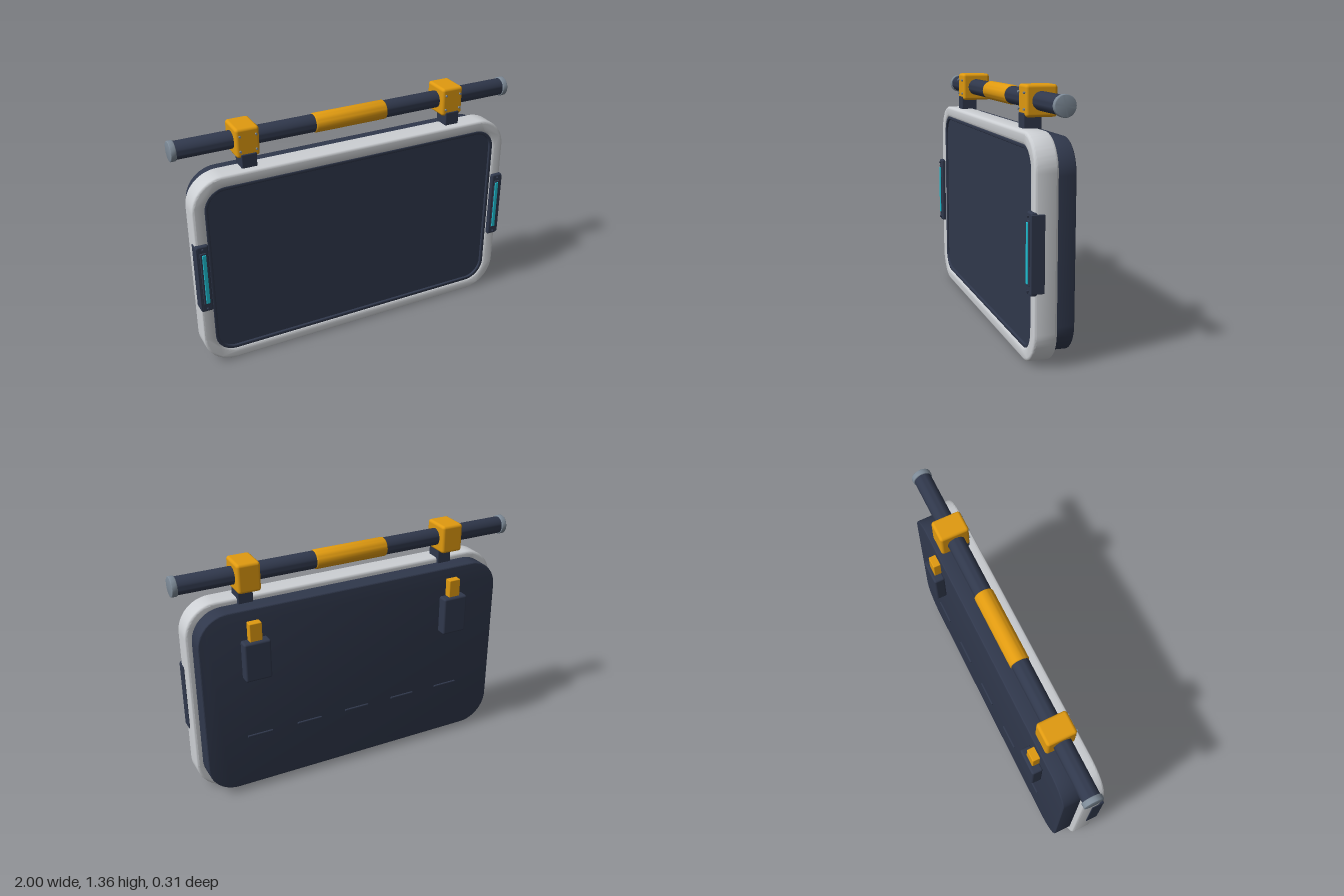
import * as THREE from 'three';
import { toCreasedNormals } from 'three/addons/utils/BufferGeometryUtils.js';
import { RoundedBoxGeometry } from 'three/addons/geometries/RoundedBoxGeometry.js';

const material = (name, color) => {
  const m = new THREE.MeshStandardMaterial({ color });
  m.name = name;
  return m;
};

// Rounded rectangle centred on the origin
function roundRect(PathType, w, h, r) {
  const p = new PathType(), x = w / 2, y = h / 2;
  p.moveTo(-x + r, -y);
  p.lineTo(x - r, -y);
  p.absarc(x - r, -y + r, r, -Math.PI / 2, 0);
  p.lineTo(x, y - r);
  p.absarc(x - r, y - r, r, 0, Math.PI / 2);
  p.lineTo(-x + r, y);
  p.absarc(-x + r, y - r, r, Math.PI / 2, Math.PI);
  p.lineTo(-x, -y + r);
  p.absarc(-x + r, -y + r, r, Math.PI, Math.PI * 1.5);
  return p;
}

// Plate or ring between z0 and z1 with softened edges
function slab(w, h, r, z0, z1, bevel, hole) {
  const shape = roundRect(THREE.Shape, w, h, r);
  if (hole) shape.holes.push(roundRect(THREE.Path, ...hole));
  const g = new THREE.ExtrudeGeometry(shape, {
    depth: z1 - z0 - 2 * bevel, curveSegments: 12, bevelEnabled: bevel > 0,
    bevelThickness: bevel, bevelSize: bevel, bevelOffset: -bevel, bevelSegments: 3,
  });
  g.translate(0, 0, z0 + bevel);
  return toCreasedNormals(g, 0.6);
}

export function createModel() {
  const model = new THREE.Group();
  model.name = 'hangingDisplay';
  const navy = material('navy', 0x30384c);
  const silver = material('silver', 0xcdd0d4);
  const amber = material('amber', 0xe09a10);
  const cyan = material('cyan', 0x1fbdd0);
  const steel = material('steel', 0x7d8a97);

  function add(name, geometry, mat, x = 0, y = 0, z = 0, parent = model) {
    const mesh = new THREE.Mesh(geometry, mat);
    mesh.name = name;
    mesh.position.set(x, y, z);
    parent.add(mesh);
    return mesh;
  }
  const block = (w, h, d, r) => new RoundedBoxGeometry(w, h, d, 3, r);

  // Rod along x with rounded rims
  function rod(length, r, edge) {
    const h = length / 2, pts = [new THREE.Vector2(0, -h)];
    for (let i = 0; i <= 3; i++) {
      const a = (i / 3) * Math.PI / 2;
      pts.push(new THREE.Vector2(r - edge + edge * Math.sin(a), -h + edge - edge * Math.cos(a)));
    }
    for (let i = 4; i >= 1; i--) pts.push(new THREE.Vector2(pts[i].x, -pts[i].y));
    pts.push(new THREE.Vector2(0, h));
    return toCreasedNormals(new THREE.LatheGeometry(pts, 32).rotateZ(Math.PI / 2), 0.6);
  }

  // Screen body
  const midY = 0.57;
  add('frame', slab(1.89, 1.14, 0.18, 0.005, 0.125, 0.014, [1.75, 1.01, 0.12]), silver, 0, midY);
  add('backShell', slab(1.82, 1.075, 0.17, -0.095, 0.01, 0.006), navy, 0, 0.5725);
  add('screen', slab(1.76, 1.02, 0.12, 0.008, 0.108, 0), navy, 0, midY);
  add('screenRim', slab(1.755, 1.015, 0.12, 0.1, 0.12, 0.004, [1.715, 0.975, 0.1]), navy, 0, midY);

  // Carrying bar
  const barY = 1.275;
  add('bar', rod(1.96, 0.048, 0.002), navy, 0, barY);
  add('grip', rod(0.425, 0.053, 0.008), amber, 0, barY);

  const screw = new THREE.CylinderGeometry(0.006, 0.006, 0.012, 12).rotateX(Math.PI / 2);

  for (const s of [-1, 1]) {
    add('barEndCap', rod(0.03, 0.054, 0.004), steel, s * 0.985, barY);

    // Clamp and neck
    const cx = s * 0.608;
    add('clamp', block(0.128, 0.16, 0.165, 0.016), amber, cx, barY, -0.0025);
    add('clampNeck', block(0.085, 0.12, 0.095, 0.006), navy, cx, 1.155, 0.0375);
    for (const dx of [-0.044, 0.044]) for (const dy of [-0.041, 0.041])
      add('clampScrew', screw, steel, cx + dx, barY + dy, 0.083);

    // Side handle with light strip
    const hx = s * 0.914;
    add('sideMount', block(0.066, 0.405, 0.035, 0.01), navy, hx, 0.5775, 0.127);
    add('sidePlate', block(0.025, 0.385, 0.07, 0.004), navy, s * 0.937, 0.5775, 0.109);
    add('lightBed', block(0.036, 0.32, 0.014, 0.005), navy, hx, 0.58, 0.143);
    add('lightStrip', block(0.022, 0.3, 0.012, 0.004), cyan, hx - s * 0.004, 0.58, 0.149);
    for (const y of [0.396, 0.76]) add('mountScrew', screw, navy, hx, y, 0.149);

    // Rear latch
    add('latchBody', block(0.15, 0.225, 0.064, 0.012), navy, cx, 0.8325, -0.123);
    add('latchTab', block(0.07, 0.14, 0.044, 0.005), amber, cx, 0.976, -0.114);
  }

  // Rear vent ribs
  const rib = block(0.15, 0.013, 0.012, 0.004);
  for (let i = -2; i <= 2; i++) add('ventRib', rib, navy, i * 0.3, 0.35, -0.097);

  return model;
}
